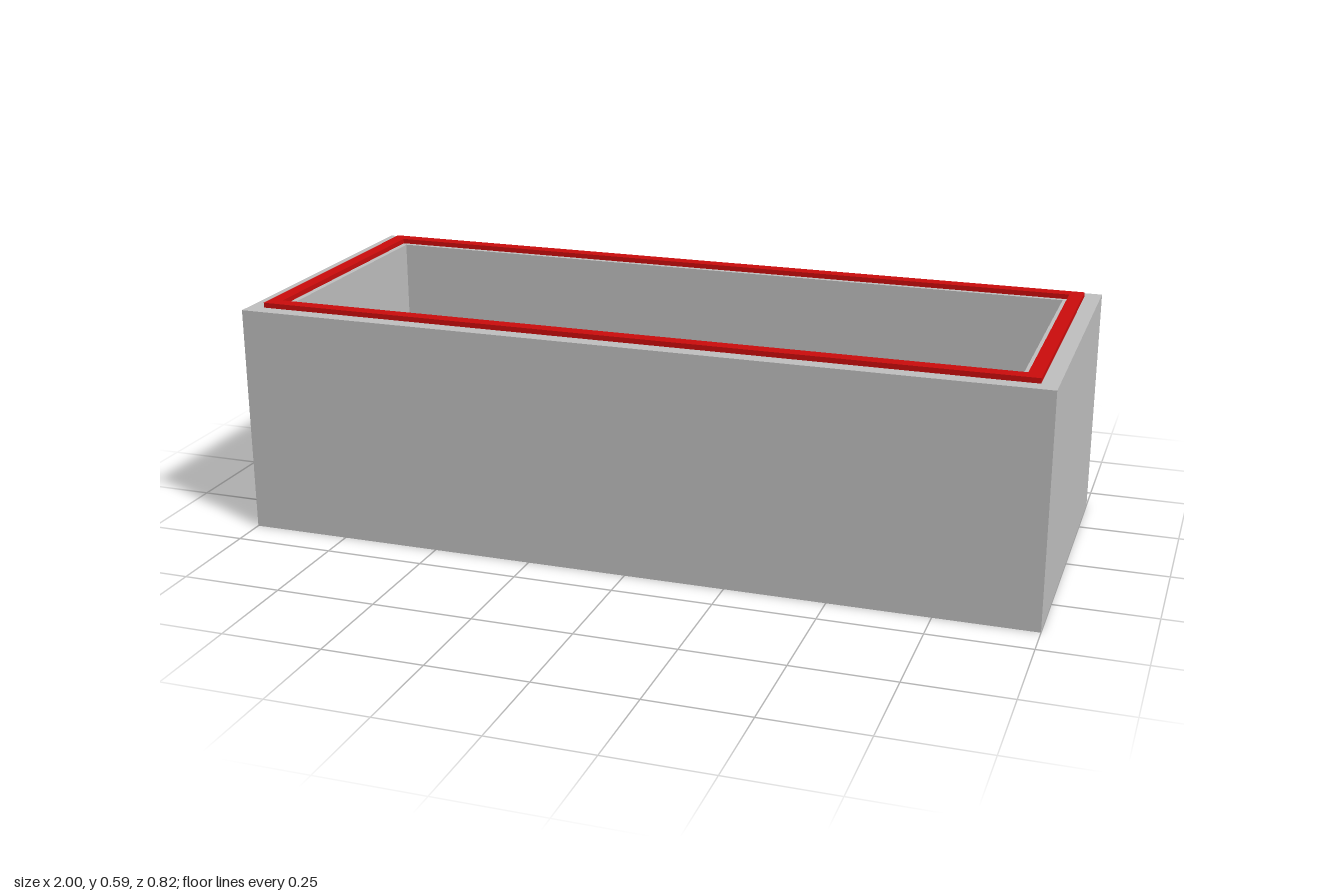
import * as THREE from 'three';

// Rectangular frame with a hole, standing between y and y + height
function frame(name, outerX, outerZ, innerX, innerZ, y, height, material) {
  const rect = (path, x, z) =>
    path.moveTo(-x, -z).lineTo(x, -z).lineTo(x, z).lineTo(-x, z).closePath();
  const shape = rect(new THREE.Shape(), outerX, outerZ);
  shape.holes.push(rect(new THREE.Path(), innerX, innerZ));
  const geometry = new THREE.ExtrudeGeometry(shape, { depth: height, bevelEnabled: false });
  geometry.rotateX(-Math.PI / 2);
  const mesh = new THREE.Mesh(geometry, material);
  mesh.name = name;
  mesh.position.y = y;
  return mesh;
}

export function createModel() {
  const grey = new THREE.MeshStandardMaterial({ color: 0xc0c0c0 });
  grey.name = 'grey body';
  const red = new THREE.MeshStandardMaterial({ color: 0xcc0c0c });
  red.name = 'red seal';

  const halfX = 1, halfZ = 0.41, height = 0.575, floorY = 0.375;
  const cavityX = 0.912, cavityZ = 0.325;

  const model = new THREE.Group();
  model.name = 'openBox';

  // Box: one outer frame of walls with a raised floor block filling the inside
  model.add(frame('walls', halfX, halfZ, cavityX, cavityZ, 0, height, grey));
  const floor = new THREE.Mesh(new THREE.BoxGeometry(2 * cavityX, floorY, 2 * cavityZ), grey);
  floor.name = 'floor';
  floor.position.y = floorY / 2;
  model.add(floor);

  // Seal standing proud of the rim
  model.add(frame('seal', 0.96, 0.372, 0.926, 0.338, height, 0.0125, red));

  return model;
}
